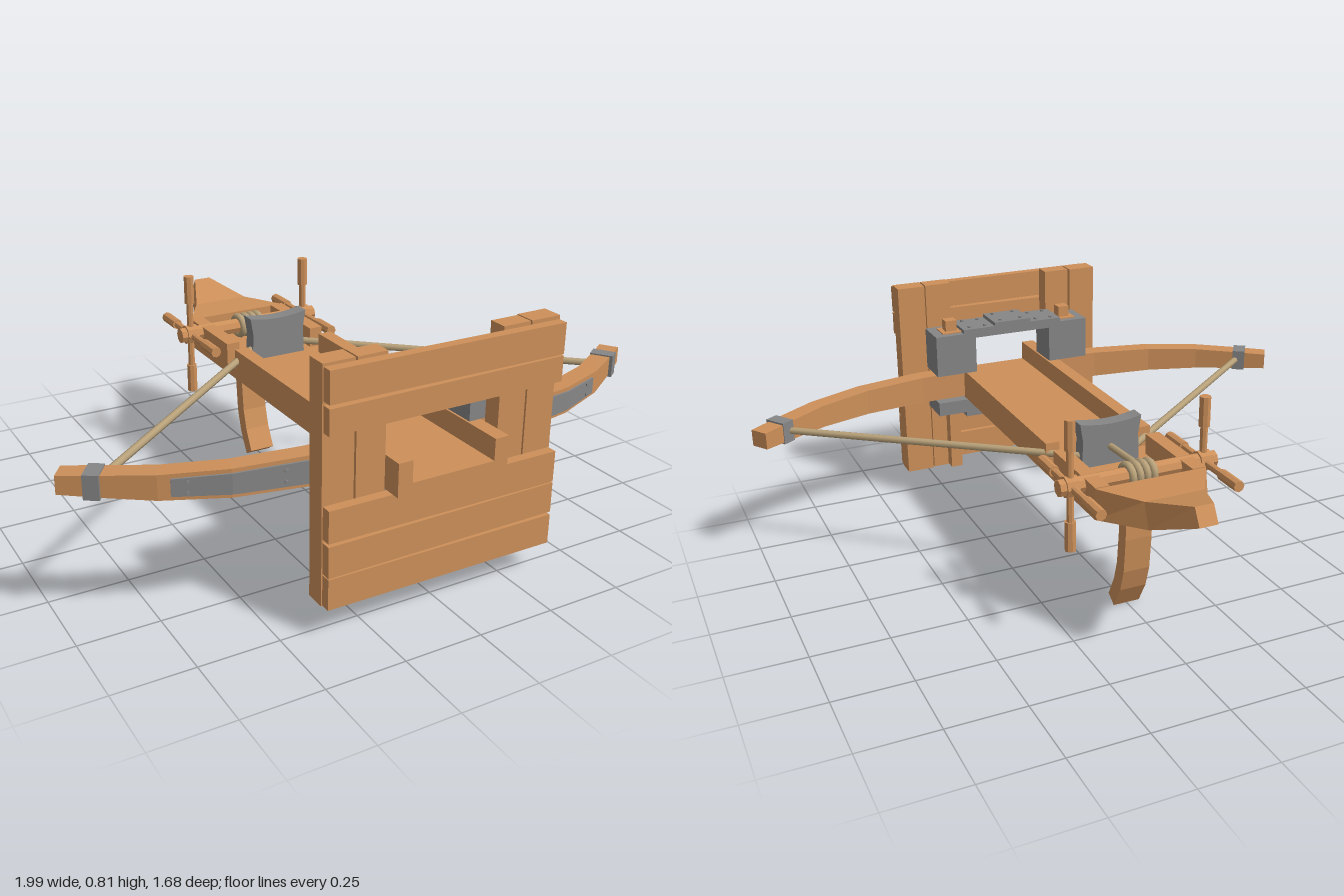
import * as THREE from 'three';

const wood = new THREE.MeshStandardMaterial({ color: 0xcd905a, flatShading: true });
wood.name = 'wood';
const iron = new THREE.MeshStandardMaterial({ color: 0x868686, flatShading: true });
iron.name = 'iron';
const rope = new THREE.MeshStandardMaterial({ color: 0xb9a27a });
rope.name = 'rope';

const V = (x, y, z) => new THREE.Vector3(x, y, z);

// Solid through matching cross-sections, wound outward by its signed volume
function loft(rings) {
  const tris = [];
  const n = rings[0].length;
  for (let i = 0; i + 1 < rings.length; i++) {
    for (let j = 0; j < n; j++) {
      const k = (j + 1) % n, a = rings[i], b = rings[i + 1];
      tris.push([a[j], a[k], b[k]], [a[j], b[k], b[j]]);
    }
  }
  const first = rings[0], last = rings[rings.length - 1];
  for (let j = 1; j + 1 < n; j++) {
    tris.push([first[0], first[j + 1], first[j]], [last[0], last[j], last[j + 1]]);
  }
  const c = first[0];
  let volume = 0;
  for (const [p, q, r] of tris) {
    volume += p.clone().sub(c).dot(q.clone().sub(c).cross(r.clone().sub(c)));
  }
  if (volume < 0) tris.forEach((t) => t.reverse());
  const g = new THREE.BufferGeometry().setFromPoints(tris.flat());
  g.computeVertexNormals();
  return g;
}

// Bow limb strip: path rows are [x, z, halfHeight], thickness runs from inner to outer offset
function limbStrip(rows, s, inner, outer) {
  return loft(rows.map(([x, z, h], i) => {
    const p = rows[Math.max(i - 1, 0)], q = rows[Math.min(i + 1, rows.length - 1)];
    const len = Math.hypot(q[0] - p[0], q[1] - p[1]);
    const nx = -(q[1] - p[1]) / len, nz = (q[0] - p[0]) / len;
    const at = (o, y) => V(s * (x + nx * o), 0.457 + y, z + nz * o);
    return [at(inner, -h), at(outer, -h), at(outer, h), at(inner, h)];
  }));
}

export function createModel() {
  const model = new THREE.Group();
  model.name = 'ballista';

  const add = (name, geo, mat) => {
    const m = new THREE.Mesh(geo, mat);
    m.name = name;
    model.add(m);
    return m;
  };
  // Box given by its limits on each axis
  const box = (name, mat, x0, x1, y0, y1, z0, z1) => {
    const m = add(name, new THREE.BoxGeometry(x1 - x0, y1 - y0, z1 - z0), mat);
    m.position.set((x0 + x1) / 2, (y0 + y1) / 2, (z0 + z1) / 2);
    return m;
  };
  // Cylinder between two points
  const rod = (name, mat, a, b, r, sides = 8) => {
    const m = add(name, new THREE.CylinderGeometry(r, r, a.distanceTo(b), sides), mat);
    m.position.copy(a).add(b).multiplyScalar(0.5);
    m.quaternion.setFromUnitVectors(V(0, 1, 0), b.clone().sub(a).normalize());
    return m;
  };

  // Stock: channel floor, side rails with a gap for the string, tapered tail
  box('stockFloor', wood, -0.185, 0.185, 0.405, 0.44, -0.51, 0.84);
  for (const s of [-1, 1]) {
    for (const [z0, z1] of [[-0.15, 0.84], [-0.51, -0.21]]) {
      const m = box('stockRail', wood, 0.138, 0.185, 0.44, 0.508, z0, z1);
      m.position.x *= s;
    }
  }
  const tail = [
    // halfWidth, top z, top y, bottom z, bottom y
    [0.185, -0.51, 0.505, -0.51, 0.405],
    [0.098, -0.65, 0.508, -0.68, 0.432],
    [0.03, -0.812, 0.55, -0.842, 0.498],
  ];
  add('stockTail', loft(tail.map(([w, tz, ty, bz, by]) =>
    [V(-w, by, bz), V(w, by, bz), V(w, ty, tz), V(-w, ty, tz)])), wood);

  // Curved rear leg
  const leg = [[-0.39, -0.437, 0.41, 0.41], [-0.39, -0.437, 0.28, 0.27],
    [-0.38, -0.427, 0.17, 0.155], [-0.36, -0.405, 0.1, 0.08], [-0.323, -0.362, 0.028, 0.003]];
  add('rearLeg', loft(leg.map(([z0, z1, y0, y1]) =>
    [V(-0.045, y0, z0), V(0.045, y0, z0), V(0.045, y1, z1), V(-0.045, y1, z1)])), wood);

  // Shield: front planks over upright boards
  const planks = [[0.097, 0.193], [0.2, 0.297], [0.304, 0.403], [0.622, 0.7], [0.708, 0.803]];
  planks.forEach(([y0, y1], i) => {
    const m = box('shieldPlank', wood, -0.385, 0.385, y0, y1, 0.782, 0.814);
    m.rotation.z = 0.004 * (i % 2 ? 1 : -1);
  });
  for (const s of [-1, 1]) {
    for (const [x0, x1, z0] of [[0.19, 0.283, 0.722], [0.289, 0.388, 0.715]]) {
      const m = box('shieldUpright', wood, x0, x1, 0.095, 0.813, z0, 0.781);
      m.position.x *= s;
    }
  }

  // Iron frame above and below the stock: stepped bridges with bolts
  const bridge = (dir, levels) => {
    levels.forEach(([w, from, to, inset]) => box('framePlate', iron, -w, w,
      Math.min(from, to), Math.max(from, to), 0.583 + inset, 0.708 - inset));
    for (const x of [-0.16, -0.1, -0.04, 0.04, 0.1, 0.16]) {
      for (const z of [0.605, 0.686]) {
        const y = Math.abs(x) < 0.07 ? levels[2][2] : levels[1][2];
        rod('frameBolt', iron, V(x, y, z), V(x, y + dir * 0.006, z), 0.007, 6);
      }
    }
  };
  bridge(1, [[0.295, 0.638, 0.657, 0], [0.19, 0.657, 0.672, 0], [0.07, 0.672, 0.685, 0]]);
  bridge(-1, [[0.295, 0.405, 0.355, 0], [0.19, 0.355, 0.338, 0], [0.07, 0.338, 0.325, 0]]);

  const limb = [[0.15, 0.645, 0.048], [0.35, 0.64, 0.047], [0.57, 0.603, 0.043],
    [0.75, 0.533, 0.038], [0.87, 0.458, 0.033], [0.978, 0.387, 0.028]];
  const strap = [[0.36, 0.64, 0.035], [0.57, 0.603, 0.031], [0.72, 0.545, 0.026]];

  for (const s of [-1, 1]) {
    // Torsion housing with its wooden post
    const housing = box('torsionHousing', iron, 0.145, 0.295, 0.508, 0.638, 0.583, 0.708);
    const collar = box('postCollar', wood, 0.185, 0.261, 0.63, 0.661, 0.607, 0.683);
    const post = box('framePost', wood, 0.202, 0.244, 0.125, 0.7, 0.625, 0.665);
    for (const m of [housing, collar, post]) m.position.x *= s;

    // Bow limb, front strap with rivets, tip band
    add('bowLimb', limbStrip(limb, s, -0.032, 0.032), wood);
    add('limbStrap', limbStrip(strap, s, 0.031, 0.038), iron);
    for (const [x, z] of [[0.43, 0.664], [0.69, 0.593]]) {
      for (const y of [0.44, 0.474]) {
        rod('strapRivet', iron, V(s * x, y, z - 0.01), V(s * (x + 0.003), y, z + 0.008), 0.006, 6);
      }
    }
    const band = box('tipBand', iron, 0.874, 0.92, 0.42, 0.494, 0.407, 0.483);
    band.position.x *= s;
    band.rotation.y = s * 0.6;

    // Bowstring half
    rod('bowstring', rope, V(s * 0.09, 0.474, -0.212), V(s * 0.895, 0.456, 0.448), 0.012);

    // Winch hub and four-handled cross
    rod('winchHub', wood, V(s * 0.205, 0.485, -0.423), V(s * 0.245, 0.485, -0.423), 0.034);
    for (let i = 0; i < 4; i++) {
      const a = i * Math.PI / 2;
      const at = (r) => V(s * 0.225, 0.485 + r * Math.cos(a), -0.423 + r * Math.sin(a));
      rod('winchSpoke', wood, at(0), at(0.13), 0.012);
      rod('winchGrip', wood, at(0.115), at(0.212), 0.018);
    }
  }

  // Winch axle, rope coils and draw rope
  rod('winchAxle', wood, V(-0.265, 0.485, -0.423), V(0.265, 0.485, -0.423), 0.027);
  for (let i = 0; i < 4; i++) {
    const coil = add('ropeCoil', new THREE.TorusGeometry(0.033, 0.012, 8, 16), rope);
    coil.position.set(-0.036 + i * 0.024, 0.485, -0.423);
    coil.rotation.y = Math.PI / 2 + 0.12;
  }
  rod('drawRope', rope, V(0, 0.51, -0.41), V(0, 0.5, -0.22), 0.011);

  // Sliding claw block with a dished top
  const claw = new THREE.Shape();
  claw.moveTo(-0.1, 0.441);
  claw.lineTo(0.1, 0.441);
  claw.lineTo(0.096, 0.53);
  claw.lineTo(0.106, 0.59);
  claw.quadraticCurveTo(0, 0.566, -0.106, 0.59);
  claw.lineTo(-0.096, 0.53);
  claw.closePath();
  const block = add('clawBlock', new THREE.ExtrudeGeometry(claw,
    { depth: 0.05, bevelEnabled: false, curveSegments: 6 }), iron);
  block.position.z = -0.237;

  return model;
}
